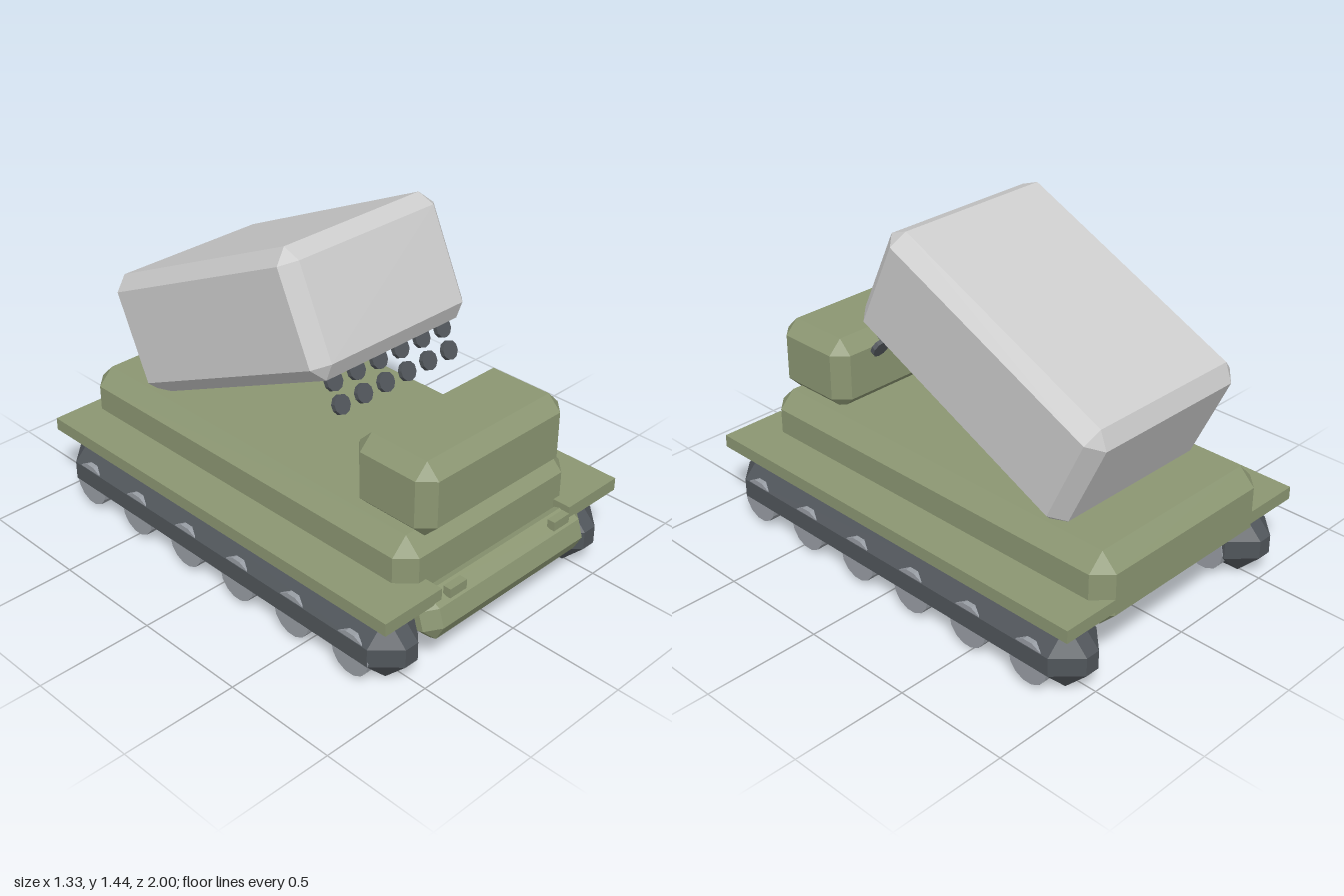
import * as THREE from 'three';
import { ConvexGeometry } from 'three/addons/geometries/ConvexGeometry.js';

const paint = (name, color) => {
  const m = new THREE.MeshStandardMaterial({ color });
  m.name = name;
  return m;
};

// Box with every edge cut at 45 degrees
function chamferBox(w, h, d, c) {
  const pts = [];
  for (const sx of [-1, 1]) for (const sy of [-1, 1]) for (const sz of [-1, 1]) {
    const x = w / 2, y = h / 2, z = d / 2;
    pts.push(
      new THREE.Vector3(sx * x, sy * (y - c), sz * (z - c)),
      new THREE.Vector3(sx * (x - c), sy * y, sz * (z - c)),
      new THREE.Vector3(sx * (x - c), sy * (y - c), sz * z));
  }
  return new ConvexGeometry(pts);
}

// Faceted cylinder
function disc(r, len, sides) {
  const g = new THREE.CylinderGeometry(r, r, len, sides).toNonIndexed();
  g.computeVertexNormals();
  return g;
}

export function createModel() {
  const model = new THREE.Group();
  model.name = 'rocketLauncherVehicle';
  const olive = paint('olive', 0x8b9672);
  const grey = paint('lightGrey', 0xcccccc);
  const dark = paint('darkGrey', 0x50555a);
  const steel = paint('wheelGrey', 0x989da4);

  const add = (name, geo, mat, x, y, z, parent = model) => {
    const m = new THREE.Mesh(geo, mat);
    m.name = name;
    m.position.set(x, y, z);
    parent.add(m);
    return m;
  };

  // Hull, sloped nose and cab
  add('hull', chamferBox(0.955, 0.32, 1.87, 0.07), olive, 0, 0.38, -0.065);
  add('nose', chamferBox(0.92, 0.19, 0.14, 0.055), olive, 0, 0.241, 0.918).rotation.x = -0.3;
  add('cab', chamferBox(0.8, 0.32, 0.395, 0.06), olive, 0, 0.68, 0.6925);

  // Fenders, headlights, tracks and road wheels on both sides
  const trackGeo = chamferBox(0.265, 0.28, 1.95, 0.1);
  const wheelGeo = disc(0.095, 0.27, 14).rotateZ(Math.PI / 2);
  for (const s of [-1, 1]) {
    const side = s > 0 ? 'left' : 'right';
    add(side + 'Fender', new THREE.BoxGeometry(0.295, 0.055, 1.95), olive, s * 0.5175, 0.333, -0.025);
    add(side + 'Headlight', new THREE.BoxGeometry(0.09, 0.04, 0.035), olive, s * 0.3, 0.333, 0.952);
    add(side + 'Track', trackGeo, dark, s * 0.522, 0.14, -0.025);
    for (let i = 0; i < 6; i++) {
      add(side + 'Wheel' + (i + 1), wheelGeo, steel, s * 0.518, 0.112, 0.76 - i * 0.312);
    }
  }

  // Tilted launcher pod
  const tilt = 0.436;
  add('launcherPod', chamferBox(0.835, 0.52, 1.2, 0.06), grey, 0, 0.98, -0.262).rotation.x = -tilt;

  // Two rows of rocket tips in front of the pod
  const tipGeo = disc(0.04, 0.02, 10).rotateX(Math.PI / 2);
  const tips = new THREE.Group();
  tips.name = 'rocketTips';
  model.add(tips);
  for (const [y, z] of [[0.94, 0.316], [0.855, 0.356]]) {
    for (let i = 0; i < 6; i++) {
      add('rocketTip', tipGeo, dark, -0.3 + i * 0.12, y, z, tips).rotation.x = -tilt;
    }
  }
  return model;
}
